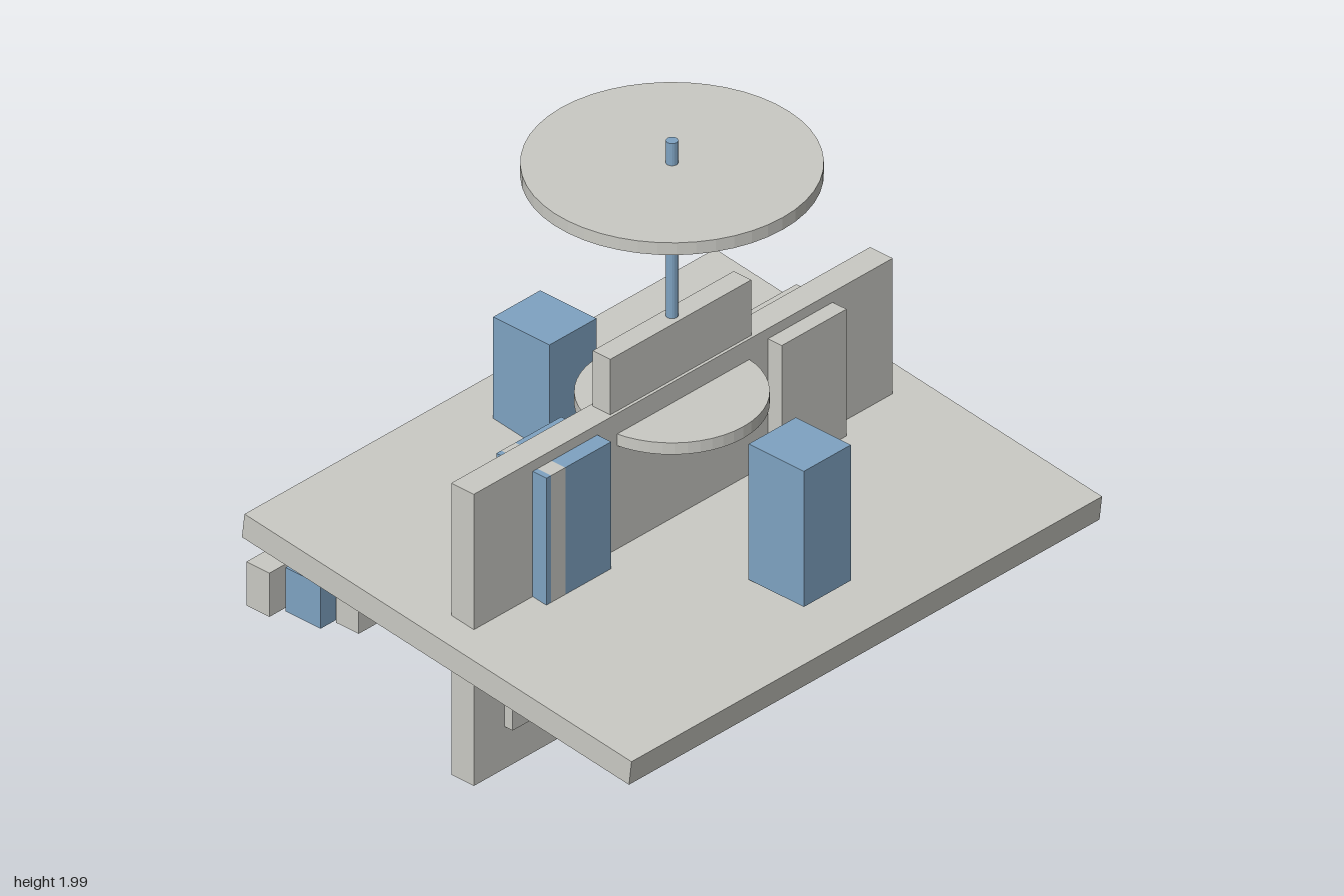
import * as THREE from 'three';

export function createModel() {
  const model = new THREE.Group();
  const grey = new THREE.MeshStandardMaterial({ color: 0xcacac4 });
  grey.name = 'pale grey';
  const blue = new THREE.MeshStandardMaterial({ color: 0x7fa3c2 });
  blue.name = 'soft blue';

  const add = (name, geometry, material) => {
    const mesh = new THREE.Mesh(geometry, material);
    mesh.name = name;
    model.add(mesh);
    return mesh;
  };

  // Box given by its limits on each axis
  const box = (name, material, [x0, x1], [y0, y1], [z0, z1]) => {
    const mesh = add(name, new THREE.BoxGeometry(x1 - x0, y1 - y0, z1 - z0), material);
    mesh.position.set((x0 + x1) / 2, (y0 + y1) / 2, (z0 + z1) / 2);
    return mesh;
  };

  // Upright cylinder between two heights
  const disc = (name, material, radius, y0, y1, sides) => {
    const geometry = new THREE.CylinderGeometry(radius, radius, y1 - y0, sides).toNonIndexed();
    geometry.computeVertexNormals();
    add(name, geometry, material).position.y = (y0 + y1) / 2;
  };

  // Symmetrical stepped plate: steps list [half width, top height] from the bottom up
  const steppedPlate = (name, material, bottom, steps, z0, z1) => {
    const right = [];
    let y = bottom;
    for (const [x, top] of steps) {
      right.push(new THREE.Vector2(x, y), new THREE.Vector2(x, top));
      y = top;
    }
    const left = right.map((p) => new THREE.Vector2(-p.x, p.y)).reverse();
    const geometry = new THREE.ExtrudeGeometry(new THREE.Shape([...right, ...left]), {
      depth: z1 - z0, bevelEnabled: false,
    });
    add(name, geometry, material).position.z = z0;
  };

  // Upright plates
  box('mainPlate', grey, [-0.89, 0.89], [0.2, 1.2], [-0.045, 0.045]);
  box('centrePlate', grey, [-0.3, 0.3], [0, 1.39], [-0.035, 0.035]);

  // Tilted deck, lower at the front
  const deck = box('tiltedDeck', grey, [-1, 1], [0.657, 0.741], [-0.778, 0.778]);
  deck.rotation.x = THREE.MathUtils.degToRad(7);

  // Side blocks, one of them blue with a grey band
  const blockY = [0.73, 1.165];
  const blockZ = [-0.1, 0.1];
  box('leftBlock', grey, [0.36, 0.635], blockY, blockZ);
  box('rightBlockEdge', blue, [-0.64, -0.62], blockY, blockZ);
  box('rightBlockBand', grey, [-0.62, -0.56], blockY, blockZ);
  box('rightBlock', blue, [-0.56, -0.365], blockY, blockZ);

  // Front and back posts
  box('frontPost', blue, [-0.1, 0.1], [0.7, 1.165], [0.4, 0.62]);
  box('backPost', blue, [-0.1, 0.1], [0.7, 1.165], [-0.62, -0.395]);

  // Rails under the back of the deck, longer toward the back
  const rails = [
    ['innerRail', grey, 0.89, -0.505, -0.415],
    ['middleRail', blue, 0.945, -0.655, -0.515],
    ['outerRail', grey, 1, -0.76, -0.668],
  ];
  for (const [name, material, half, z0, z1] of rails) {
    box(name, material, [-half, half], [0.525, 0.675], [z0, z1]);
  }

  // Stepped plates on the lower body and its back
  steppedPlate('lowerSteppedPlate', grey, 0.345,
    [[0.76, 0.48], [0.715, 0.54], [0.43, 0.585]], -0.078, 0.078);
  steppedPlate('backSteppedPlate', blue, 0.57,
    [[0.62, 0.79], [0.25, 0.85]], -0.052, -0.04);

  // Discs and mast
  disc('lowerDisc', grey, 0.285, 1.09, 1.13, 48);
  disc('upperDisc', grey, 0.442, 1.872, 1.914, 48);
  disc('mast', blue, 0.019, 1.38, 1.99, 16);

  return model;
}
